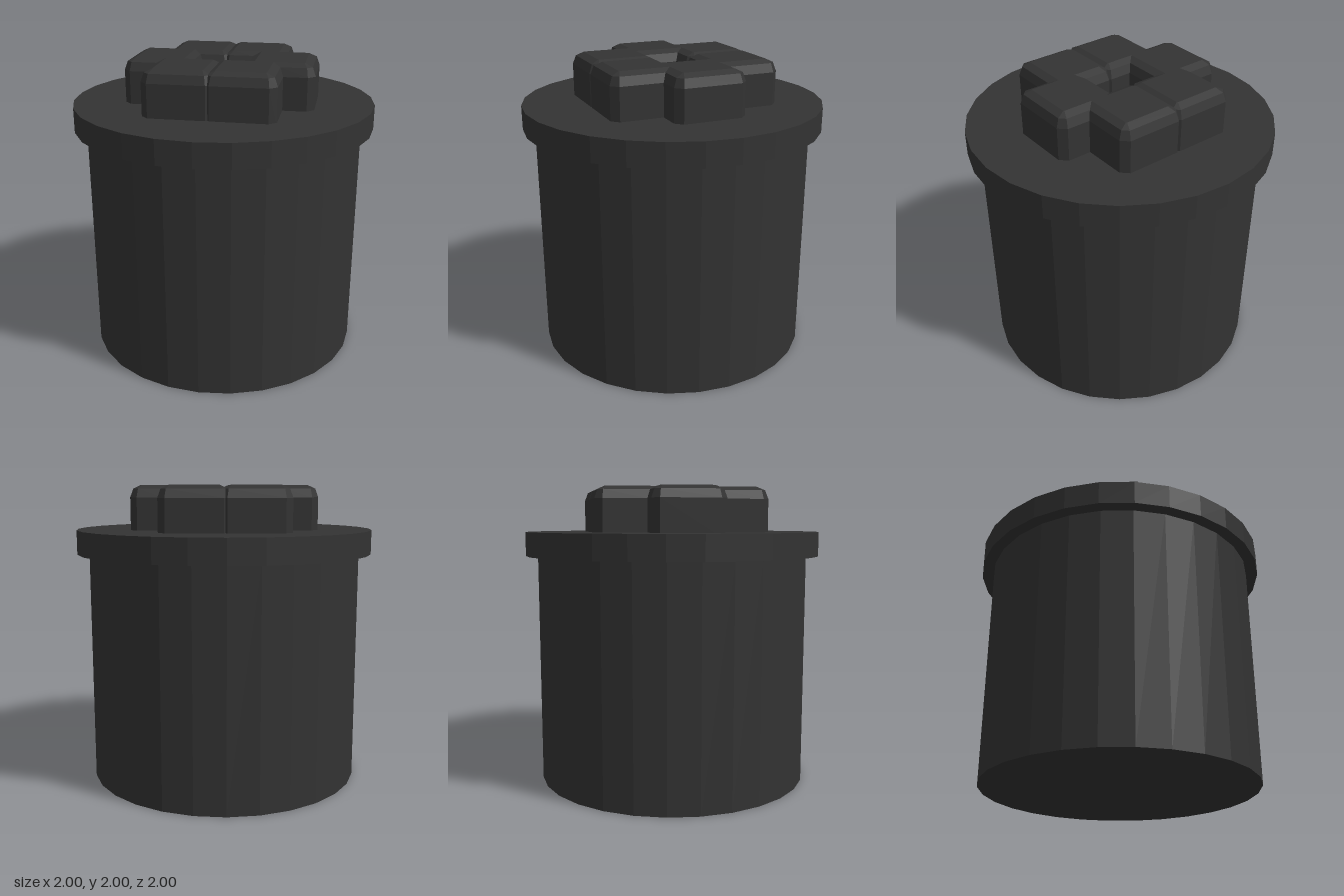
import * as THREE from 'three';

const SIDES = 28;

// Half of the cross pad at the inset top level; the bevel grows it to full size.
// Convex corners carry a tiny chamfer so the bevelled edges come out cut.
function halfCrossShape() {
  const c = 0.005;
  const corners = [
    [0.035, -0.5, 1], [0.35, -0.5, 1], [0.35, -0.17, 0],
    [0.55, -0.17, 1], [0.55, 0.17, 1], [0.35, 0.17, 0],
    [0.35, 0.5, 1], [0.035, 0.5, 1], [0.035, 0.17, 1],
    [0.23, 0.17, 0], [0.23, -0.17, 0], [0.035, -0.17, 1],
  ];
  const points = [];
  corners.forEach(([x, y, cut], i) => {
    const p = new THREE.Vector2(x, y);
    if (!cut) {
      points.push(p);
      return;
    }
    for (const step of [-1, 1]) {
      const [nx, ny] = corners[(i + step + corners.length) % corners.length];
      const dir = new THREE.Vector2(nx, ny).sub(p).normalize();
      points.push(p.clone().addScaledVector(dir, c));
    }
  });
  return new THREE.Shape(points);
}

export function createModel() {
  const model = new THREE.Group();
  const charcoal = new THREE.MeshStandardMaterial({ color: 0x333333, flatShading: true });
  charcoal.name = 'charcoal';

  const add = (name, geometry, y) => {
    const mesh = new THREE.Mesh(geometry, charcoal);
    mesh.name = name;
    mesh.position.y = y;
    model.add(mesh);
    return mesh;
  };

  // Round body and wider rim
  add('body', new THREE.CylinderGeometry(0.92, 0.92, 1.55, SIDES), 0.775);
  add('rim', new THREE.CylinderGeometry(1, 1, 0.16, SIDES), 1.625);

  // Two bevelled halves meet in a shallow groove around the central hole;
  // their lower bevels are sunk into the rim
  const half = new THREE.ExtrudeGeometry(halfCrossShape(), {
    depth: 0.24, bevelEnabled: true, bevelThickness: 0.08, bevelSize: 0.07, bevelSegments: 2,
  });
  half.rotateX(-Math.PI / 2);
  add('crossPadLeft', half, 1.68);
  add('crossPadRight', half, 1.68).rotation.y = Math.PI;

  return model;
}
